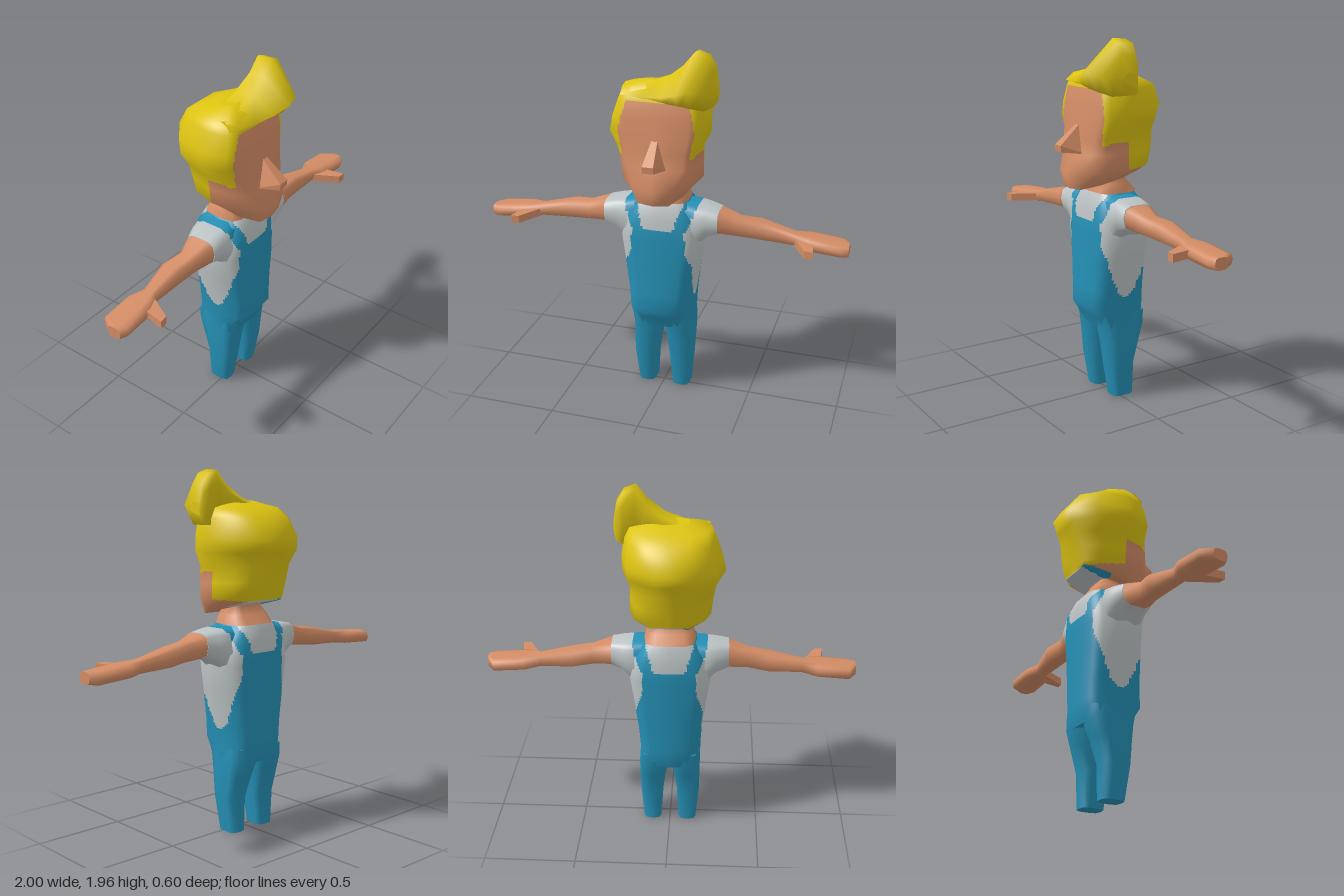
import * as THREE from 'three';
import { ConvexGeometry } from 'three/addons/geometries/ConvexGeometry.js';

const mat = (name, color) => {
  const m = new THREE.MeshStandardMaterial({ color });
  m.name = name;
  return m;
};

const V = (x, y, z) => new THREE.Vector3(x, y, z);

// Closed skin over a list of equal-length rings. Each patch is subdivided so that
// pick(x, y, z) can choose a material index face by face; normals stay smooth.
function loft(name, rings, materials, pick = () => 0, sub = 1) {
  const n = rings[0].length;
  const centre = (r) => {
    const c = r.reduce((a, p) => a.add(p), V(0, 0, 0)).divideScalar(n);
    return r.map(() => c.clone());
  };
  const first = rings[0], last = rings[rings.length - 1];
  const all = [centre(first), first, ...rings, last, centre(last)];

  // coarse normals
  const coarse = new THREE.BufferGeometry().setFromPoints(all.flat());
  const ci = [];
  let volume = 0;
  for (let i = 0; i < all.length - 1; i++) for (let j = 0; j < n; j++) {
    const k = (j + 1) % n, a = i * n + j, b = i * n + k, c = a + n, d = b + n;
    ci.push(a, b, d, a, d, c);
    const [A, B, C, D] = [all[i][j], all[i][k], all[i + 1][j], all[i + 1][k]];
    volume += A.dot(B.clone().cross(D)) + A.dot(D.clone().cross(C));
  }
  coarse.setIndex(ci);
  coarse.computeVertexNormals();
  const flip = volume < 0;
  const nor = coarse.attributes.normal;
  const normalAt = (i, j) => new THREE.Vector3().fromBufferAttribute(nor, i * n + j).multiplyScalar(flip ? -1 : 1);
  const mix = (a, b, c, d, u, v) => a.clone().lerp(b, u).lerp(c.clone().lerp(d, u), v);

  // fine patches
  const pos = [], nrm = [], faces = materials.map(() => []);
  for (let i = 0; i < all.length - 1; i++) {
    if (all[i] === all[i + 1]) continue;
    for (let j = 0; j < n; j++) {
      const k = (j + 1) % n, base = pos.length / 3;
      for (let v = 0; v <= sub; v++) for (let u = 0; u <= sub; u++) {
        const p = mix(all[i][j], all[i][k], all[i + 1][j], all[i + 1][k], u / sub, v / sub);
        const q = mix(normalAt(i, j), normalAt(i, k), normalAt(i + 1, j), normalAt(i + 1, k), u / sub, v / sub).normalize();
        pos.push(p.x, p.y, p.z);
        nrm.push(q.x, q.y, q.z);
      }
      for (let v = 0; v < sub; v++) for (let u = 0; u < sub; u++) {
        const m = mix(all[i][j], all[i][k], all[i + 1][j], all[i + 1][k], (u + 0.5) / sub, (v + 0.5) / sub);
        const a = base + v * (sub + 1) + u, b = a + 1, c = a + sub + 1, d = c + 1;
        faces[pick(m.x, m.y, m.z)].push(...(flip ? [a, d, b, a, c, d] : [a, b, d, a, d, c]));
      }
    }
  }
  const g = new THREE.BufferGeometry();
  g.setAttribute('position', new THREE.Float32BufferAttribute(pos, 3));
  g.setAttribute('normal', new THREE.Float32BufferAttribute(nrm, 3));
  g.setIndex(faces.flat());
  let start = 0;
  faces.forEach((f, i) => { if (f.length) g.addGroup(start, f.length, i); start += f.length; });
  const mesh = new THREE.Mesh(g, materials);
  mesh.name = name;
  return mesh;
}

// Left half of a ring, front to back, completed by mirroring
const mirrorRing = (half) => [...half, ...half.slice(1, -1).reverse().map((p) => V(-p.x, p.y, p.z))];

// Rounded-box outline between two limits on each axis
function softBox(a0, a1, b0, b1, place, count = 10, power = 0.6) {
  const soft = (t) => Math.sign(t) * Math.abs(t) ** power;
  return Array.from({ length: count }, (_, i) => {
    const t = ((i + 0.5) / count) * Math.PI * 2;
    return place((a0 + a1) / 2 + soft(Math.cos(t)) * (a1 - a0) / 2, (b0 + b1) / 2 + soft(Math.sin(t)) * (b1 - b0) / 2);
  });
}

export function createModel() {
  const skin = mat('skin', 0xd38c65), hair = mat('hair', 0xdcc312);
  const denim = mat('denim', 0x2590b5), shirt = mat('shirt', 0xbcc3c4);
  const model = new THREE.Group();
  model.name = 'figure';

  // Dungarees (0) over shirt (1)
  const clothes = (x, y, z) => {
    const ax = Math.abs(x);
    if (y > 1) {
      const lean = (y - 1) * 0.35;
      return ax > 0.08 + lean && ax < 0.155 + lean ? 0 : 1;
    }
    if (ax > 0.215) return 1;
    if (y < 0.58) return 0;
    const half = 0.145 * Math.min(1, Math.sqrt((y - 0.58) / 0.3));
    return Math.abs(z + 0.012) < half && ax > 0.1 ? 1 : 0;
  };

  // Torso: y, half width, front z, back z
  const trunkRing = ([y, w, f, b]) => mirrorRing([
    V(0, y, f), V(w * 0.6, y, f * 0.97), V(w * 0.92, y, f * 0.72), V(w, y, 0),
    V(w * 0.92, y, b * 0.72), V(w * 0.6, y, b * 0.97), V(0, y, b)]);
  model.add(loft('torso', [
    [0.4, 0.168, 0.095, -0.155], [0.46, 0.17, 0.12, -0.17], [0.52, 0.172, 0.16, -0.17], [0.62, 0.18, 0.155, -0.17],
    [0.8, 0.205, 0.15, -0.17], [0.94, 0.228, 0.145, -0.17], [1.06, 0.205, 0.14, -0.17], [1.145, 0.14, 0.1, -0.135],
  ].map(trunkRing), [denim, shirt], clothes, 8));

  // Neck
  model.add(loft('neck', [
    [1.145, 0.14, 0.1, -0.135], [1.195, 0.125, 0.085, -0.09], [1.235, 0.1, 0.08, -0.06], [1.32, 0.1, 0.08, -0.06],
  ].map(trunkRing), [skin]));

  for (const s of [1, -1]) {
    const side = s > 0 ? 'left' : 'right';
    // Legs: y, inner x, outer x, back z, front z
    model.add(loft(side + 'Leg', [
      [0, 0.05, 0.15, -0.09, 0.04], [0.19, 0.037, 0.168, -0.09, 0.07], [0.32, 0.02, 0.17, -0.13, 0.085],
      [0.41, 0, 0.17, -0.16, 0.1], [0.48, 0, 0.165, -0.165, 0.12],
    ].map(([y, x0, x1, z0, z1]) => softBox(x0, x1, z0, z1, (x, z) => V(s * x, y, z))), [denim]));

    // Sleeves and arms: x, low y, high y, back z, front z
    const limb = ([x, y0, y1, z0, z1]) => softBox(y0, y1, z0, z1, (y, z) => V(s * x, y, z));
    model.add(loft(side + 'Sleeve', [
      [0.08, 0.88, 1.15, -0.11, 0.1], [0.19, 0.9, 1.138, -0.13, 0.115], [0.25, 0.96, 1.13, -0.11, 0.11],
      [0.315, 0.985, 1.117, -0.085, 0.1],
    ].map(limb), [denim, shirt], clothes, 6));
    model.add(loft(side + 'Arm', [
      [0.31, 0.986, 1.116, -0.084, 0.098], [0.42, 0.975, 1.08, -0.05, 0.06], [0.53, 0.965, 1.067, -0.075, 0.05],
      [0.71, 0.955, 1.025, -0.045, 0.035], [0.79, 0.945, 1.02, -0.08, 0.075], [0.96, 0.935, 1.003, -0.08, 0.08],
      [1, 0.937, 1, -0.02, 0.06],
    ].map(limb), [skin]));
    const thumb = [[0.71, 0.02], [0.81, 0.04], [0.79, 0.17], [0.835, 0.175]]
      .flatMap(([x, z]) => [V(s * x, 0.958, z), V(s * x, 1, z)]);
    const thumbMesh = new THREE.Mesh(new ConvexGeometry(thumb), skin);
    thumbMesh.name = side + 'Thumb';
    model.add(thumbMesh);
  }

  // Head: front y, back y, front z, back z, face half width, face corner z, half width, back half width, side shift
  const headRing = ([yf, yb, f, b, wf, zc, w, wb, dx]) => {
    const y = (z) => yf + (yb - yf) * (f - z) / (f - b);
    const at = (x, z) => V(x, y(z), z);
    return mirrorRing([at(0, f), at(wf, zc), at(w * 0.9, Math.min(0.12, zc * 0.8)), at(w, 0), at(w * 0.85, b * 0.62), at(wb, b), at(0, b)])
      .map((p) => (p.z < 0.14 ? p.setX(p.x + dx) : p));
  };
  const headColour = (x, y, z) => {
    const under = 1.175 + (0.23 - z) * 0.238;
    if (z < -0.04 && y < under + 0.006) return x < -0.08 ? 2 : 3;
    if (y > 1.7 || (z < 0.14 && y > 1.43 - Math.max(0, z - 0.05) * 0.2) || (z < 0 && y > 1.285 + z * 0.05)) return 1;
    return 0;
  };
  model.add(loft('head', [
    [1.175, 1.275, 0.23, -0.19, 0.085, 0.215, 0.15, 0.1, 0],
    [1.26, 1.3, 0.26, -0.195, 0.1, 0.23, 0.215, 0.11, 0],
    [1.36, 1.38, 0.205, -0.215, 0.14, 0.185, 0.22, 0.11, -0.005],
    [1.44, 1.46, 0.195, -0.235, 0.155, 0.17, 0.225, 0.1, -0.015],
    [1.53, 1.53, 0.18, -0.262, 0.165, 0.16, 0.27, 0.09, -0.018],
    [1.61, 1.6, 0.165, -0.295, 0.17, 0.15, 0.262, 0.08, -0.01],
    [1.7, 1.71, 0.15, -0.225, 0.165, 0.14, 0.24, 0.11, 0],
    [1.765, 1.755, 0.12, -0.13, 0.13, 0.11, 0.215, 0.1, 0],
    [1.795, 1.78, 0.05, -0.05, 0.06, 0.04, 0.1, 0.05, 0],
  ].map(headRing), [skin, hair, denim, shirt], headColour, 8));

  // Nose
  const nose = [[0.015, 1.52, 0.17], [0.03, 1.41, 0.3], [0.03, 1.375, 0.297], [0.07, 1.36, 0.17]]
    .flatMap(([x, y, z]) => [V(x, y, z), V(-x, y, z)]);
  const noseMesh = new THREE.Mesh(new ConvexGeometry(nose), skin);
  noseMesh.name = 'nose';
  model.add(noseMesh);

  // Swept-up quiff: x, low y, high y, back z, front z
  model.add(loft('quiff', [
    [-0.2, 1.7, 1.765, 0, 0.13], [-0.07, 1.7, 1.78, -0.04, 0.175], [0.03, 1.7, 1.815, -0.04, 0.21],
    [0.12, 1.7, 1.885, -0.02, 0.24], [0.18, 1.69, 1.957, -0.015, 0.235], [0.24, 1.67, 1.935, -0.02, 0.19],
    [0.275, 1.68, 1.88, -0.01, 0.13], [0.29, 1.72, 1.79, 0.01, 0.09],
  ].map(([x, y0, y1, z0, z1]) => {
    const h = y1 - y0;
    return [V(x, y0, z0), V(x, y0, z1 - 0.07), V(x, y0 + h * 0.38, z1), V(x, y1, Math.min(0.08, z1 - 0.03)),
      V(x, y1 - 0.005, z0 + 0.015), V(x, y0 + h * 0.75, z0)];
  }), [hair]));

  return model;
}
